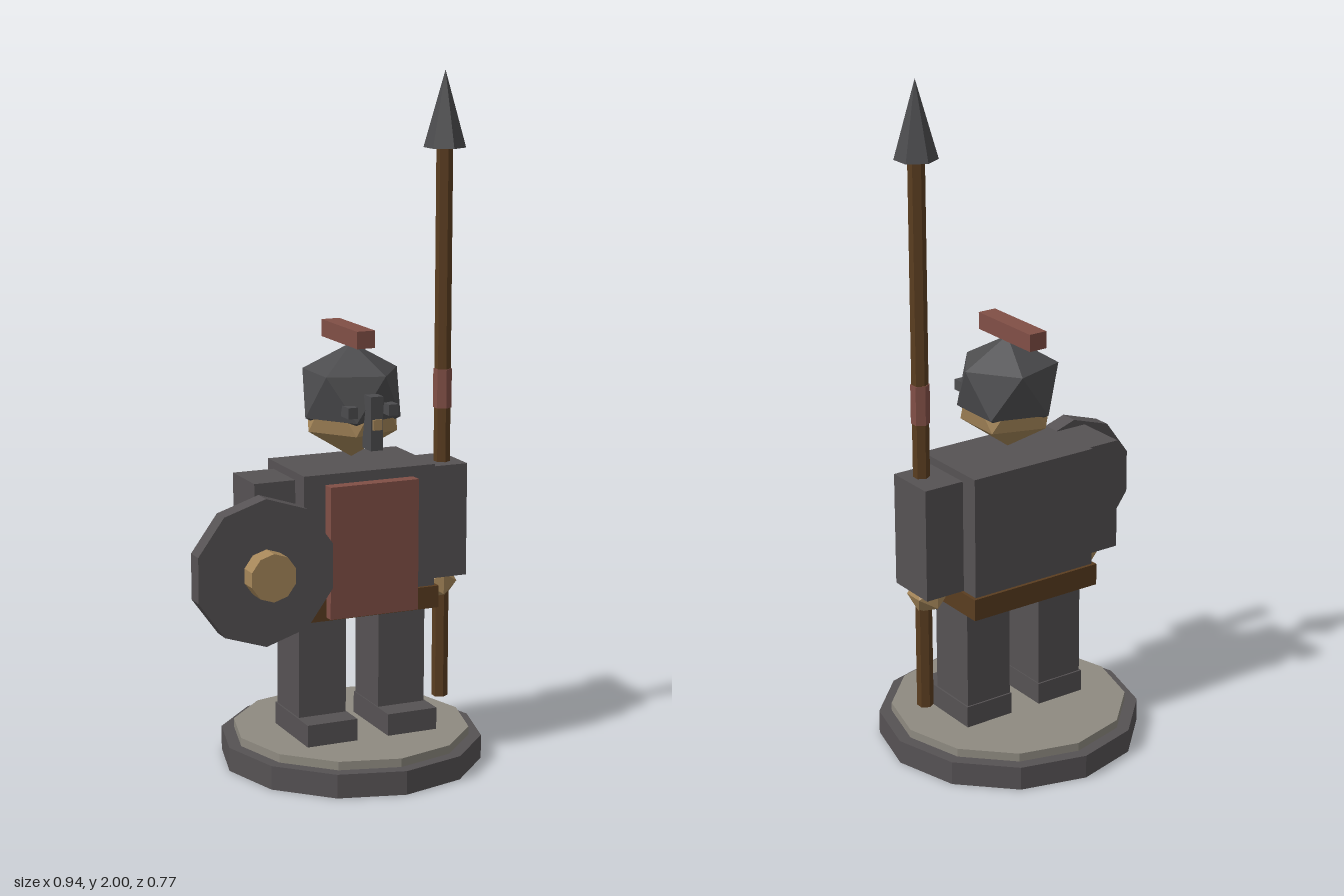
import * as THREE from 'three';

const mat = (name, color) => {
  const m = new THREE.MeshStandardMaterial({ color, flatShading: true });
  m.name = name;
  return m;
};

export function createModel() {
  const armour = mat('armour grey', 0x565254);
  const iron = mat('dark iron', 0x4c4c4e);
  const stone = mat('stone', 0x8e8a80);
  const cloth = mat('red cloth', 0x814f46);
  const leather = mat('brown leather', 0x5a3d20);
  const skin = mat('tan', 0xa6875a);

  const model = new THREE.Group();
  model.name = 'spearman';
  const CX = 0.085; // the figure's own middle line

  const add = (name, geometry, material, x, y, z, parent = model) => {
    const mesh = new THREE.Mesh(geometry, material);
    mesh.name = name;
    mesh.position.set(x, y, z);
    parent.add(mesh);
    return mesh;
  };
  // box given by its extents on each axis
  const box = (name, material, [x0, x1], [y0, y1], [z0, z1]) =>
    add(name, new THREE.BoxGeometry(x1 - x0, y1 - y0, z1 - z0), material,
      (x0 + x1) / 2, (y0 + y1) / 2, (z0 + z1) / 2);
  // upright prism from y0 to y1
  const prism = (name, material, rTop, rBottom, sides, x, y0, y1, z) =>
    add(name, new THREE.CylinderGeometry(rTop, rBottom, y1 - y0, sides), material,
      x, (y0 + y1) / 2, z);
  // icosahedron standing on a corner
  const pointedBall = (name, material, rx, ry, y) => {
    const g = new THREE.IcosahedronGeometry(1, 0);
    g.rotateX(-Math.atan((1 + Math.sqrt(5)) / 2)).rotateY(Math.PI / 2).scale(rx, ry, rx);
    return add(name, g, material, CX, y, 0);
  };
  // disc facing the front
  const disc = (name, material, r, x, y, z0, z1) =>
    add(name, new THREE.CylinderGeometry(r, r, z1 - z0, 10).rotateX(Math.PI / 2),
      material, x, y, (z0 + z1) / 2);

  // Base
  prism('base', armour, 0.385, 0.385, 12, CX, 0, 0.07, 0);
  prism('baseTop', stone, 0.348, 0.348, 12, CX, 0.07, 0.095, 0);

  // Legs, boots, arms and hands, mirrored about the middle line
  for (const [side, s] of [['left', 1], ['right', -1]]) {
    const span = (a, b) => [CX + s * a, CX + s * b].sort((p, q) => p - q);
    box(side + 'Leg', armour, span(0.052, 0.2), [0.16, 0.47], [-0.08, 0.08]);
    box(side + 'Boot', armour, span(0.049, 0.205), [0.09, 0.16], [-0.085, 0.155]);
    box(side + 'Arm', armour, span(0.21, 0.335), [0.53, 0.865], [-0.08, 0.08]);
    add(side + 'Hand', new THREE.IcosahedronGeometry(0.06, 0), skin,
      CX + s * 0.27, 0.505, 0.015);
  }

  // Body
  box('torso', armour, [-0.12, 0.29], [0.5, 0.885], [-0.132, 0.132]);
  box('belt', leather, [-0.13, 0.3], [0.46, 0.525], [-0.142, 0.142]);
  box('tabard', cloth, [-0.055, 0.22], [0.47, 0.855], [0.13, 0.17]);

  // Head and helmet
  pointedBall('head', skin, 0.15, 0.15, 1.05);
  pointedBall('helmet', iron, 0.161, 0.145, 1.088);
  box('noseGuard', iron, [0.066, 0.104], [0.95, 1.105], [0.12, 0.175]);
  box('nose', skin, [0.071, 0.099], [1.01, 1.04], [0.12, 0.182]);
  for (const s of [-1, 1]) {
    const x = CX + s * 0.063;
    box(s > 0 ? 'leftEye' : 'rightEye', iron, [x - 0.015, x + 0.015], [1.042, 1.074], [0.1, 0.152]);
  }
  box('crest', cloth, [0.057, 0.113], [1.23, 1.28], [-0.148, 0.1]);

  // Shield with round boss
  disc('shield', armour, 0.212, -0.268, 0.64, 0.155, 0.21);
  disc('shieldBoss', skin, 0.069, -0.268, 0.64, 0.21, 0.266);

  // Spear
  prism('spearShaft', leather, 0.024, 0.024, 6, 0.367, 0.15, 1.78, 0.02);
  prism('spearBand', cloth, 0.027, 0.027, 6, 0.367, 1.025, 1.14, 0.02);
  add('spearHead', new THREE.ConeGeometry(0.061, 0.22, 6), iron, 0.367, 1.89, 0.02);

  return model;
}
